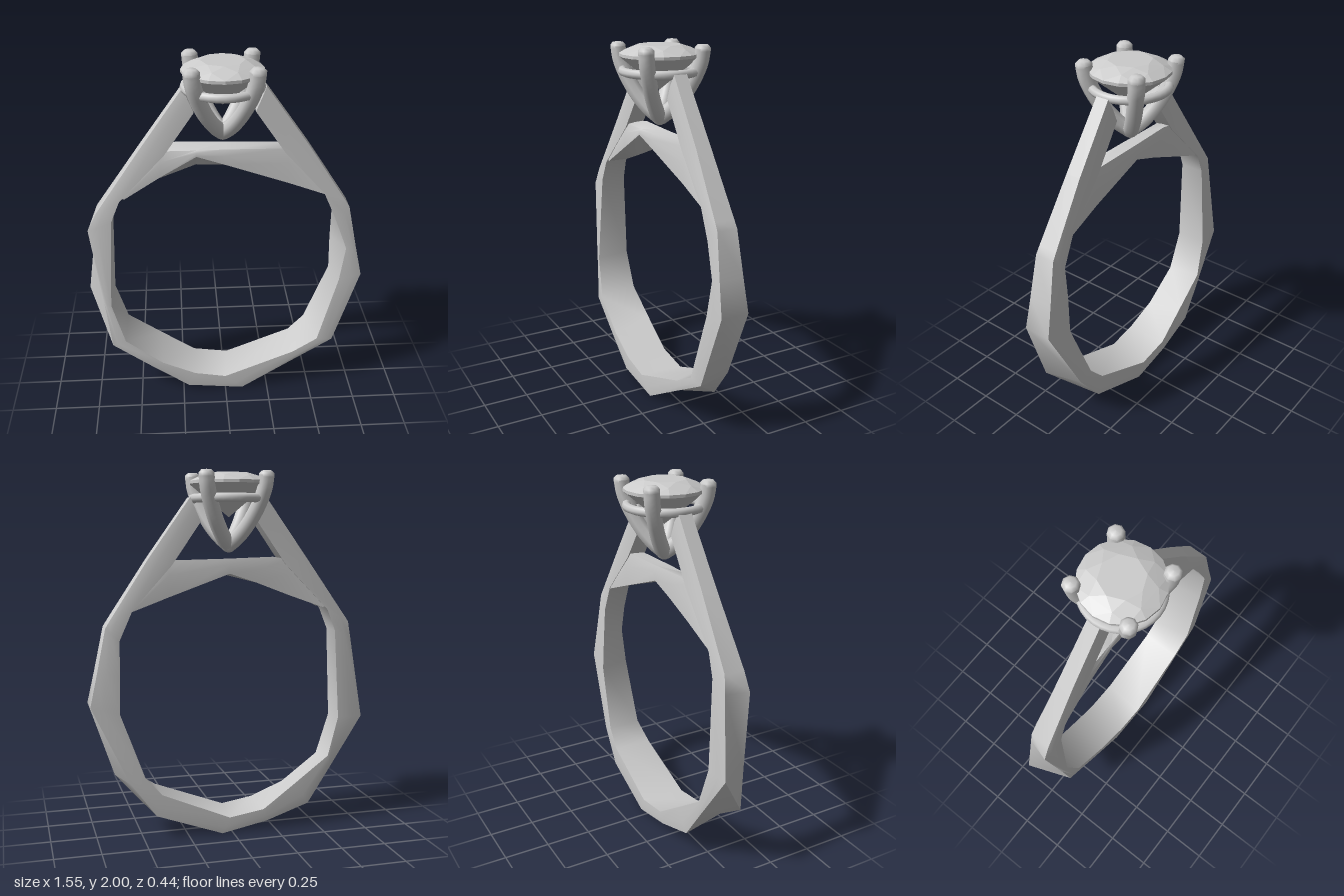
import * as THREE from 'three';
import { toCreasedNormals } from 'three/addons/utils/BufferGeometryUtils.js';
import { ConvexGeometry } from 'three/addons/geometries/ConvexGeometry.js';

const metal = new THREE.MeshStandardMaterial({ color: 0xcccccc });
const stone = new THREE.MeshStandardMaterial({ color: 0xcccccc, flatShading: true });

function add(group, name, geometry, material = metal) {
  const mesh = new THREE.Mesh(geometry, material);
  mesh.name = name;
  group.add(mesh);
  return mesh;
}

// Each station: front outer x, y, front inner x, y, back outer x, y, back inner x, y.
// The front and back edges break at different places, which gives the hewn look.
const same = (ox, oy, ix, iy) => [ox, oy, ix, iy, ox, oy, ix, iy];

// From the left-hand shoulder, round the bottom, to the right-hand shoulder
const bandStations = [
  same(-0.215, 1.86, -0.16, 1.73),
  same(-0.45, 1.53, -0.32, 1.5),
  same(-0.7, 1.17, -0.57, 1.24),
  [-0.75, 1.07, -0.62, 1.12, -0.715, 1.07, -0.615, 1.12],
  [-0.69, 0.62, -0.65, 0.6, -0.78, 0.62, -0.635, 0.62],
  [-0.655, 0.33, -0.58, 0.36, -0.585, 0.33, -0.57, 0.4],
  [-0.45, 0.185, -0.37, 0.2, -0.45, 0.13, -0.37, 0.255],
  [-0.22, 0.03, -0.18, 0.12, -0.2, 0.05, -0.18, 0.12],
  [0.1, 0, 0, 0.09, 0.06, 0, 0.02, 0.09],
  [0.43, 0.2, 0.4, 0.245, 0.43, 0.13, 0.4, 0.25],
  [0.63, 0.32, 0.54, 0.33, 0.57, 0.32, 0.49, 0.35],
  [0.775, 0.75, 0.65, 0.72, 0.775, 0.75, 0.62, 0.71],
  [0.735, 0.93, 0.68, 0.92, 0.735, 0.93, 0.613, 0.92],
  same(0.685, 1.17, 0.612, 1.1),
  same(0.66, 1.21, 0.54, 1.26),
  same(0.45, 1.53, 0.32, 1.5),
  same(0.215, 1.86, 0.16, 1.73),
];

// Bridge closing the finger hole, running from +x to -x with its top as the outer side
const bridgeStations = [
  same(0.6, 1.27, 0.54, 1.255),
  [0.34, 1.52, 0.34, 1.324, 0.34, 1.525, 0.34, 1.328],
  [0, 1.522, 0, 1.439, 0, 1.532, 0, 1.45],
  [-0.15, 1.52, -0.15, 1.488, -0.25, 1.54, -0.15, 1.4],
  [-0.34, 1.52, -0.34, 1.378, -0.34, 1.525, -0.34, 1.327],
  same(-0.6, 1.27, -0.54, 1.255),
];

// Lofts six-sided sections: flat inside, softened outside, narrowing with height
function loftGeometry(stations) {
  const positions = [], index = [], n = 6;
  const section = [[1, -1], [1, 1], [0.6, 1], [0, 1], [0, -1], [0.6, -1]];
  for (const s of stations) {
    const y = s[1];
    const width = Math.max(0.125 - 0.05 * y, 0.075 - 0.015 * y);
    const crest = 0.97 - 0.1 * y;
    for (const [t, side] of section) {
      const [ox, oy, ix, iy] = side > 0 ? s.slice(0, 4) : s.slice(4);
      const z = side * width * (t === 1 ? crest : 1);
      positions.push(ix + (ox - ix) * t, iy + (oy - iy) * t, z);
    }
  }
  const last = (stations.length - 1) * n;
  for (let i = 0; i < last; i += n) {
    for (let k = 0; k < n; k++) {
      const a = i + k, b = i + (k + 1) % n;
      index.push(a, a + n, b + n, a, b + n, b);
    }
  }
  for (let k = 1; k < n - 1; k++) {
    index.push(0, k, k + 1, last, last + k + 1, last + k);
  }
  const g = new THREE.BufferGeometry();
  g.setAttribute('position', new THREE.Float32BufferAttribute(positions, 3));
  g.setIndex(index);
  return toCreasedNormals(g, 0.8);
}

// Round brilliant: table, star points, girdle, pavilion and culet
function gemGeometry() {
  const points = [];
  const ring = (count, r, y, offset = 0) => {
    for (let i = 0; i < count; i++) {
      const a = ((i + offset) / count) * Math.PI * 2;
      points.push(new THREE.Vector3(r * Math.cos(a), y, r * Math.sin(a)));
    }
  };
  ring(8, 0.115, 1.992);
  ring(8, 0.17, 1.974, 0.5);
  ring(16, 0.215, 1.948);
  ring(16, 0.215, 1.932);
  ring(8, 0.12, 1.865, 0.5);
  points.push(new THREE.Vector3(0, 1.755, 0));
  return new ConvexGeometry(points);
}

export function createModel() {
  const model = new THREE.Group();
  model.name = 'ring';

  add(model, 'band', loftGeometry(bandStations));
  add(model, 'bridge', loftGeometry(bridgeStations));

  const head = new THREE.Group();
  head.name = 'stoneSetting';
  head.position.x = -0.008;
  model.add(head);
  add(head, 'gem', gemGeometry(), stone);

  // Gallery ring under the stone
  const gallery = add(head, 'galleryRing', new THREE.TorusGeometry(0.197, 0.024, 8, 32));
  gallery.rotation.x = Math.PI / 2;
  gallery.position.y = 1.855;

  // Four prongs sweeping up from a common foot, each with a blunt tip
  const profile = [[0, 1.605], [0.06, 1.65], [0.13, 1.73], [0.19, 1.83], [0.222, 1.91], [0.232, 1.975]];
  const path = new THREE.CatmullRomCurve3(profile.map(([r, y]) => new THREE.Vector3(r, y, 0)));
  const tube = new THREE.TubeGeometry(path, 16, 0.043, 8);
  const tipProfile = [[0.043, -0.01], [0.043, 0.008], [0.028, 0.023], [0, 0.026]];
  const tip = new THREE.LatheGeometry(tipProfile.map(([r, y]) => new THREE.Vector2(r, y)), 8);
  tip.translate(0.232, 1.974, 0);
  for (let i = 0; i < 4; i++) {
    const prong = new THREE.Group();
    prong.name = 'prong';
    prong.rotation.y = Math.PI / 4 + i * Math.PI / 2;
    add(prong, 'prongStem', tube);
    add(prong, 'prongTip', tip);
    head.add(prong);
  }
  const foot = add(head, 'prongFoot', new THREE.SphereGeometry(0.044, 12, 8));
  foot.position.y = 1.607;

  return model;
}
